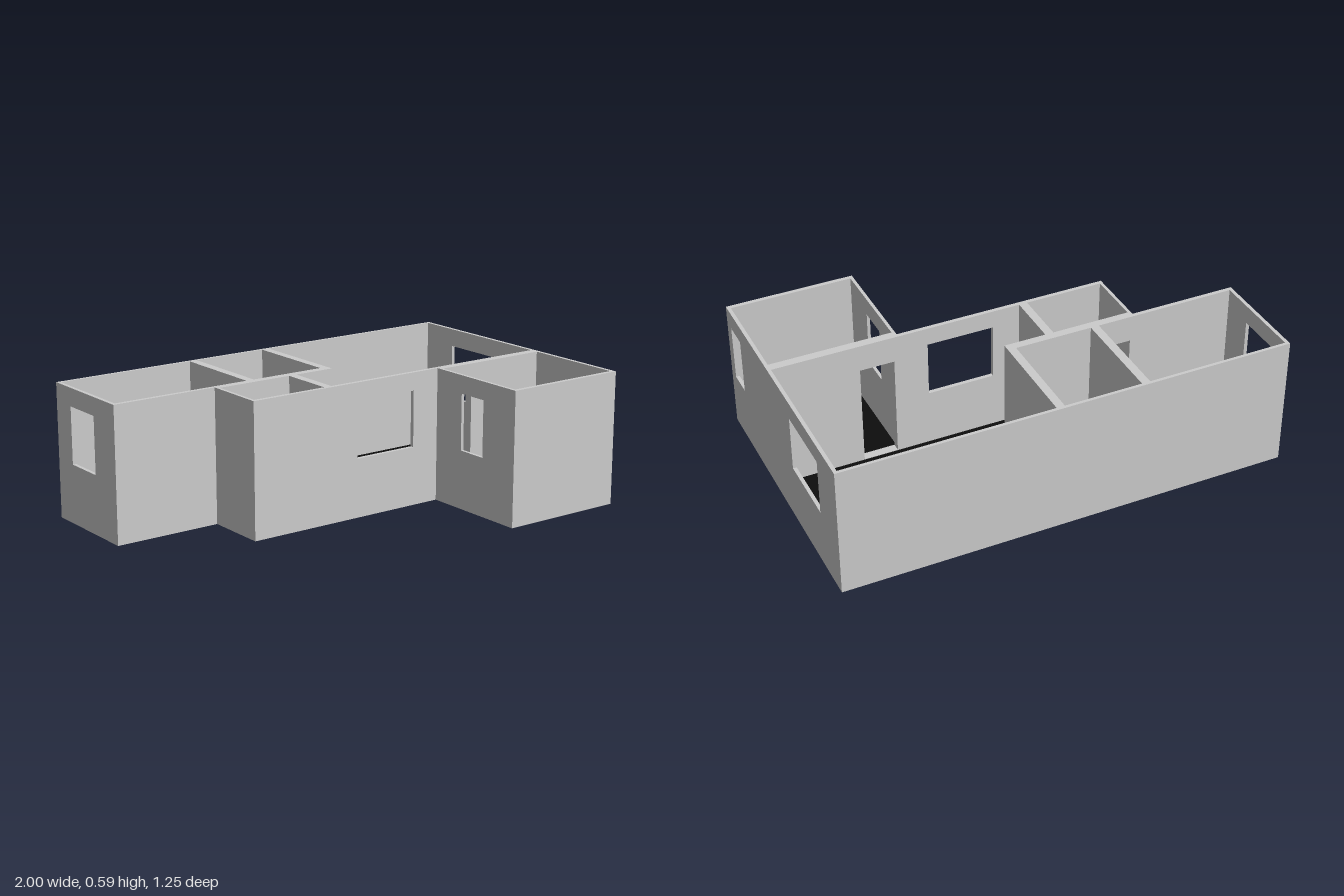
import * as THREE from 'three';

const HEIGHT = 0.59, SILL = 0.26, WINDOW_TOP = 0.51, DOOR_TOP = 0.47, SLAB = 0.006;

const grey = new THREE.MeshStandardMaterial({ color: 0xcccccc });
const dark = new THREE.MeshStandardMaterial({ color: 0x0d0d0d });

const rectangle = (path, a, b, c, d) =>
  path.moveTo(a, c).lineTo(b, c).lineTo(b, d).lineTo(a, d).closePath();

// openings, given by their span along the wall
const windowAt = (a, b) => [a, b, SILL, WINDOW_TOP];
const doorAt = (a, b) => [a, b, SLAB + 0.002, DOOR_TOP];

// upright wall along x or z, from a to b, filling c0 to c1 across
function wall(name, axis, a, b, c0, c1, openings = []) {
  const shape = rectangle(new THREE.Shape(), a, b, 0, HEIGHT);
  for (const o of openings) shape.holes.push(rectangle(new THREE.Path(), ...o));
  const geometry = new THREE.ExtrudeGeometry(shape, { depth: c1 - c0, bevelEnabled: false });
  if (axis === 'x') geometry.translate(0, 0, c0);
  else geometry.rotateY(-Math.PI / 2).translate(c1, 0, 0);
  const mesh = new THREE.Mesh(geometry, grey);
  mesh.name = name;
  return mesh;
}

// flat slab over a plan rectangle
function slab(name, material, x0, x1, z0, z1, y0, y1) {
  const mesh = new THREE.Mesh(new THREE.BoxGeometry(x1 - x0, y1 - y0, z1 - z0), material);
  mesh.position.set((x0 + x1) / 2, (y0 + y1) / 2, (z0 + z1) / 2);
  mesh.name = name;
  return mesh;
}

export function createModel() {
  const house = new THREE.Group();
  house.name = 'house';

  // walls running left to right
  house.add(
    wall('backWall', 'x', -1, 1, -0.627, -0.613),
    wall('bedroomFrontWall', 'x', -1, -0.522, -0.174, -0.156),
    wall('middleWall', 'x', -0.522, 0.064, -0.174, -0.138, [doorAt(-0.505, -0.357)]),
    wall('mainFrontWall', 'x', -0.522, 0.43, 0.11, 0.128, [windowAt(0, 0.3)]),
    wall('frontRoomBackWall', 'x', 0.43, 0.984, 0.11, 0.149, [doorAt(0.452, 0.605)]),
    wall('frontRoomFrontWall', 'x', 0.43, 1, 0.608, 0.627),
  );

  // walls running back to front
  house.add(
    wall('bedroomOuterWall', 'z', -0.613, -0.174, -1, -0.984, [windowAt(-0.51, -0.32)]),
    wall('bedroomPartition', 'z', -0.613, -0.174, -0.353, -0.316),
    wall('innerRoomPartition', 'z', -0.613, -0.174, 0.028, 0.064),
    wall('smallRoomOuterWall', 'z', -0.138, 0.11, -0.522, -0.508),
    wall('smallRoomPartition', 'z', -0.138, 0.11, -0.16, -0.123),
    wall('frontRoomSideWall', 'z', 0.149, 0.608, 0.43, 0.444, [windowAt(0.29, 0.43)]),
    wall('longSideWall', 'z', -0.613, 0.608, 0.984, 1,
      [windowAt(-0.433, -0.126), windowAt(0.463, 0.577)]),
  );

  // base under each wing, and the dark floor just above it
  const wings = [
    [-1, 1, -0.627, -0.156],
    [-0.522, 1, -0.156, 0.128],
    [0.43, 1, 0.128, 0.627],
  ];
  for (const [x0, x1, z0, z1] of wings)
    house.add(slab('base', grey, x0, x1, z0, z1, 0, SLAB / 2));

  const rooms = [
    ['bedroomFloor', -0.984, -0.353, -0.613, -0.174],
    ['innerRoomFloor', -0.316, 0.028, -0.613, -0.174],
    ['smallRoomFloor', -0.508, -0.16, -0.138, 0.11],
    ['mainRoomFloor', 0.064, 0.984, -0.613, -0.138],
    ['mainRoomFrontFloor', -0.123, 0.984, -0.138, 0.11],
    ['frontRoomFloor', 0.444, 0.984, 0.149, 0.608],
  ];
  for (const [name, x0, x1, z0, z1] of rooms)
    house.add(slab(name, dark, x0, x1, z0, z1, SLAB / 2, SLAB));

  return house;
}
